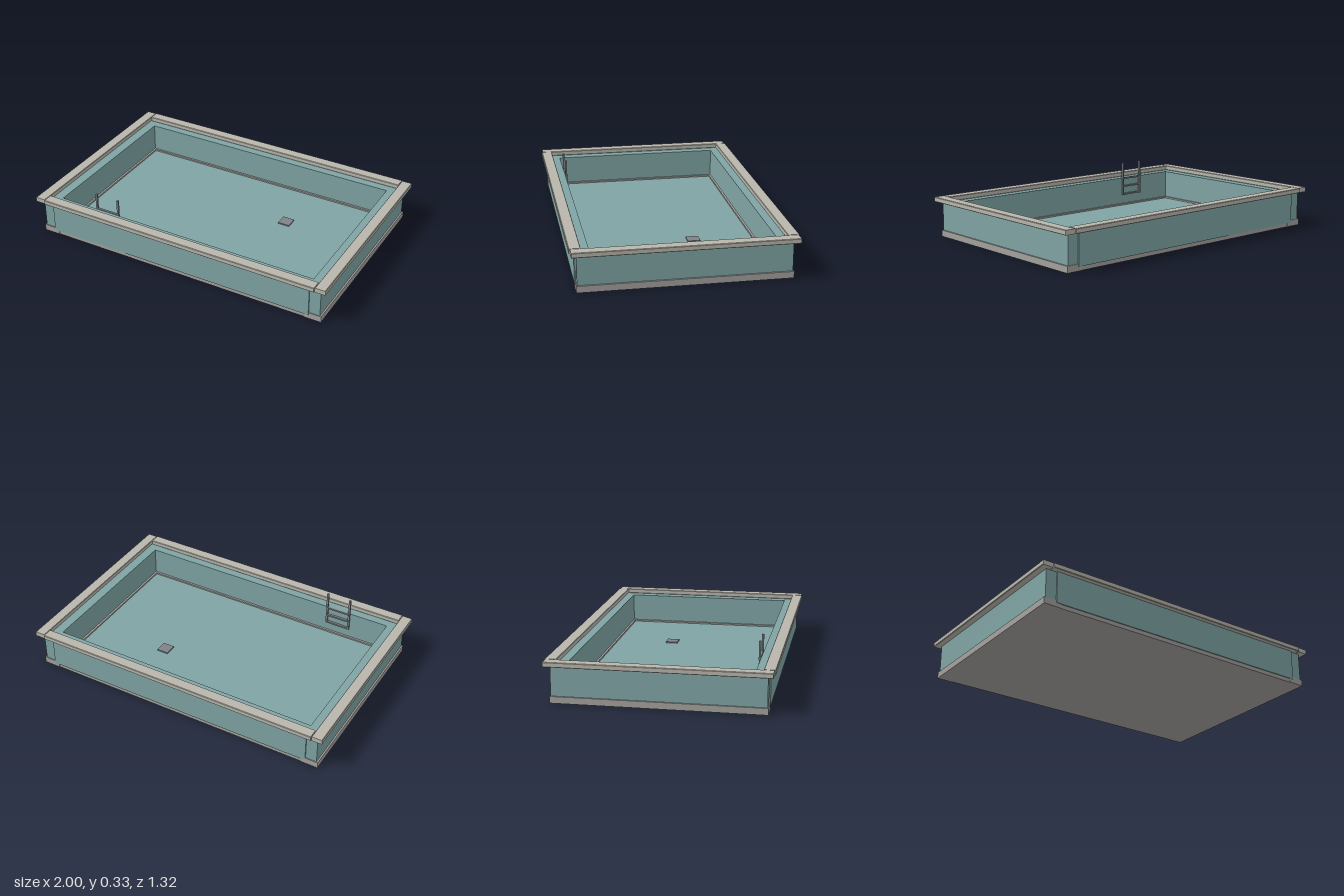
import * as THREE from 'three';

const mat = (color) => new THREE.MeshStandardMaterial({ color, flatShading: true });

export function createModel() {
  const pool = new THREE.Group();
  pool.name = 'pool';
  const tile = mat(0x80a4a4), stone = mat(0xb8b6ac), concrete = mat(0xa4a19e), metal = mat(0x7f8488);

  // box given by its low and high limits on each axis
  const box = (name, material, [x0, x1], [y0, y1], [z0, z1], parent = pool) => {
    const mesh = new THREE.Mesh(new THREE.BoxGeometry(x1 - x0, y1 - y0, z1 - z0), material);
    mesh.position.set((x0 + x1) / 2, (y0 + y1) / 2, (z0 + z1) / 2);
    mesh.name = name;
    parent.add(mesh);
    return mesh;
  };

  // coping bar along z, with slightly chamfered long edges
  const coping = (name, width, length) => {
    const w = width / 2, h = 0.015, c = 0.003;
    const profile = new THREE.Shape([
      [-w + c, -h], [w - c, -h], [w, -h + c], [w, h - c],
      [w - c, h], [-w + c, h], [-w, h - c], [-w, -h + c],
    ].map(([x, y]) => new THREE.Vector2(x, y)));
    const geometry = new THREE.ExtrudeGeometry(profile, { depth: length, bevelEnabled: false });
    geometry.translate(0, 0, -length / 2);
    const mesh = new THREE.Mesh(geometry, stone);
    mesh.name = name;
    pool.add(mesh);
    return mesh;
  };

  // slab and tiled floor
  box('baseSlab', concrete, [-0.965, 0.965], [0, 0.025], [-0.622, 0.622]);
  box('floor', tile, [-0.88, 0.88], [0.02, 0.03], [-0.545, 0.545]);

  // walls, skirting and coping, mirrored on both axes
  for (const s of [-1, 1]) {
    const span = (a, b) => (s > 0 ? [a, b] : [-b, -a]);
    const end = s > 0 ? 'left' : 'right';
    const side = s > 0 ? 'front' : 'back';
    box(end + 'Wall', tile, span(0.875, 0.96), [0.025, 0.22], [-0.62, 0.62]);
    box(side + 'Wall', tile, [-0.89, 0.89], [0.025, 0.22], span(0.54, 0.628));
    box(end + 'Skirting', concrete, span(0.862, 0.97), [0, 0.04], [-0.625, 0.625]);
    box(side + 'Skirting', concrete, [-0.87, 0.87], [0.01, 0.04], span(0.527, 0.615));
    coping(end + 'Coping', 0.067, 1.304).position.set(s * 0.9665, 0.235, 0);
    const bar = coping(side + 'Coping', 0.068, 1.86);
    bar.rotation.y = Math.PI / 2;
    bar.position.set(0, 0.235, s * 0.625);
  }

  // floor drain
  box('drain', metal, [0.315, 0.392], [0.028, 0.038], [-0.2, -0.122]);

  // ladder hanging inside the front wall
  const ladder = new THREE.Group();
  ladder.name = 'ladder';
  pool.add(ladder);
  for (const x of [-0.615, -0.46]) {
    box('ladderRail', metal, [x - 0.006, x + 0.006], [0.1, 0.327], [0.529, 0.541], ladder);
  }
  for (const y of [0.107, 0.163, 0.219]) {
    box('ladderRung', metal, [-0.615, -0.46], [y - 0.005, y + 0.005], [0.525, 0.539], ladder);
  }
  return pool;
}
